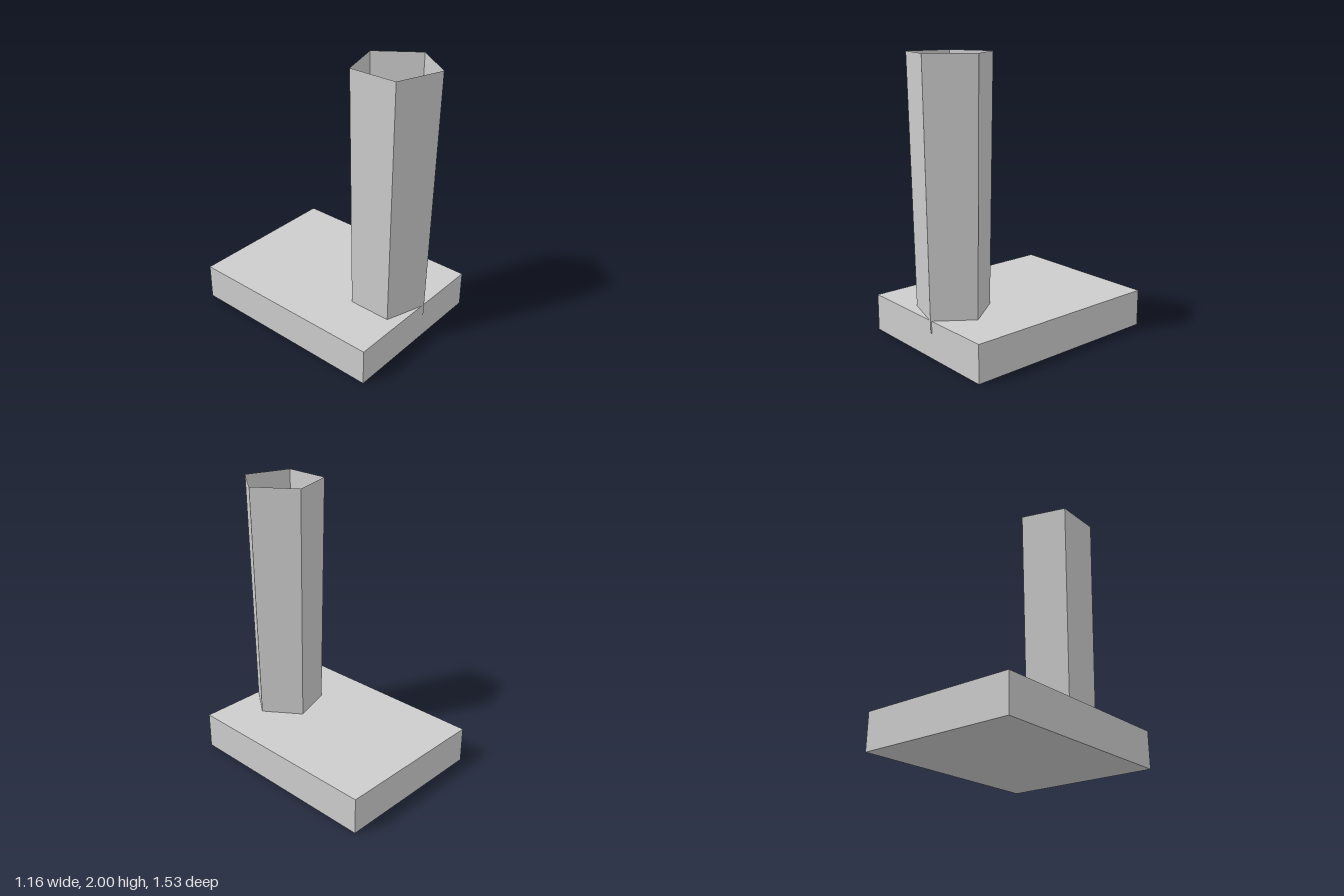
import * as THREE from 'three';

export function createModel() {
  const model = new THREE.Group();
  model.name = 'postOnSlab';

  const grey = new THREE.MeshStandardMaterial({ color: 0xcccccc, side: THREE.DoubleSide, flatShading: true });
  grey.name = 'light grey';

  // Rectangular base slab
  const slabHeight = 0.265, back = -0.765, front = 0.725;
  const slab = new THREE.Mesh(new THREE.BoxGeometry(1.16, slabHeight, front - back), grey);
  slab.name = 'baseSlab';
  slab.position.set(0, slabHeight / 2, (front + back) / 2);
  model.add(slab);

  // Open five-sided tube, flaring slightly upward and sunk into the slab, one corner facing +x
  const bottom = 0.18, top = 2;
  const tube = new THREE.Mesh(
    new THREE.CylinderGeometry(0.297, 0.264, top - bottom, 5, 1, true, Math.PI / 2),
    grey
  );
  tube.name = 'pentagonalTube';
  tube.position.set(0, (top + bottom) / 2, 0.479);
  model.add(tube);

  return model;
}
